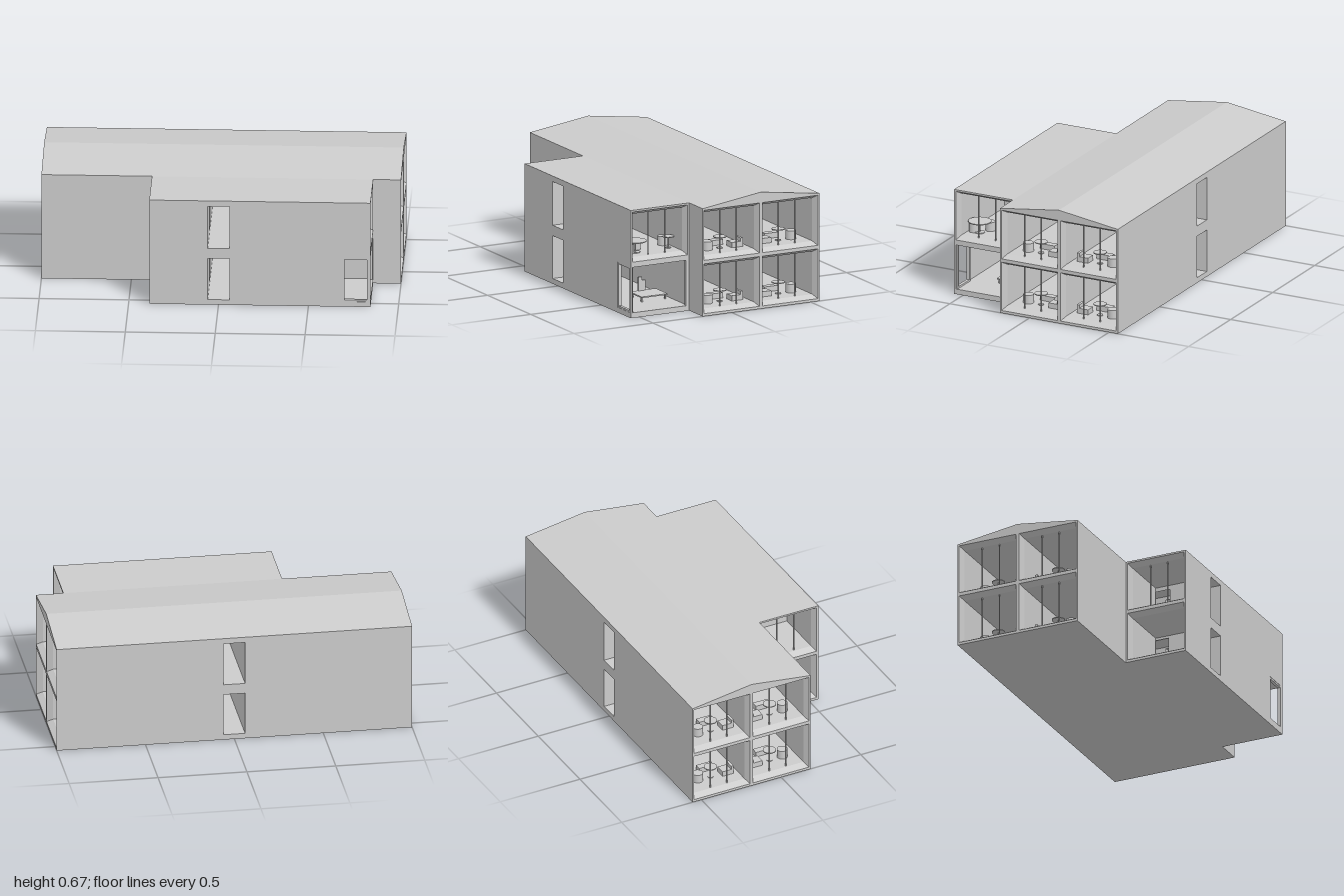
import * as THREE from 'three';

const mat = new THREE.MeshStandardMaterial({ color: 0xcccccc, side: THREE.DoubleSide });

export function createModel() {
  const root = new THREE.Group();
  root.name = 'building';
  const EAVE = 0.617, RIDGE = 0.668, FRONT = 0.555, MID = 0.185, BACK = -0.555;

  const add = (name, geo, x = 0, y = 0, z = 0) => {
    const m = new THREE.Mesh(geo, mat);
    m.name = name;
    m.position.set(x, y, z);
    root.add(m);
    return m;
  };
  // box given by its limits
  const box = (name, x0, x1, y0, y1, z0, z1) =>
    add(name, new THREE.BoxGeometry(Math.abs(x1 - x0), y1 - y0, Math.abs(z1 - z0)),
      (x0 + x1) / 2, (y0 + y1) / 2, (z0 + z1) / 2);
  // upright cylinder standing on y
  const drum = (name, r, h, x, y, z) =>
    add(name, new THREE.CylinderGeometry(r, r, h, 24), x, y + h / 2, z);

  const trace = (path, pts) => {
    pts.forEach(([u, v], i) => (i ? path.lineTo(u, v) : path.moveTo(u, v)));
    path.closePath();
    return path;
  };
  const rect = ([a, b, c, d]) => [[a, c], [b, c], [b, d], [a, d]];
  const holed = (outline, holes) => {
    const s = trace(new THREE.Shape(), outline);
    holes.forEach(h => s.holes.push(trace(new THREE.Path(), rect(h))));
    return s;
  };
  // wall facing z; limits and holes as [x0, x1, y0, y1]
  const wallZ = (name, limits, holes, z) =>
    add(name, new THREE.ExtrudeGeometry(holed(rect(limits), holes), { depth: 0.01, bevelEnabled: false }), 0, 0, z);
  // thin wall facing x; outline as [z, y], holes as [z0, z1, y0, y1]
  const wallX = (name, outline, holes, x) => {
    const flip = outline.map(([z, y]) => [-z, y]);
    const cut = holes.map(([a, b, c, d]) => [-b, -a, c, d]);
    const m = add(name, new THREE.ShapeGeometry(holed(flip, cut)), x);
    m.rotation.y = Math.PI / 2;
  };
  // open rectangular tube through sections [x, z0, z1, y0, y1]
  const tube = (name, sections, skip = -1) => {
    const pos = [];
    const rings = sections.map(([x, a, b, c, d]) => rect([a, b, c, d]).map(([z, y]) => [x, y, z]));
    for (let i = 0; i + 1 < rings.length; i++) {
      for (let k = 0; k < 4; k++) {
        if (k === skip) continue;
        const n = (k + 1) % 4, p = rings[i], q = rings[i + 1];
        pos.push(...p[k], ...p[n], ...q[n], ...p[k], ...q[n], ...q[k]);
      }
    }
    const g = new THREE.BufferGeometry();
    g.setAttribute('position', new THREE.Float32BufferAttribute(pos, 3));
    g.computeVertexNormals();
    add(name, g);
  };

  const HALL = 0.06;
  // splayed window reveal, room behind it and two mullions
  const windowRoom = (s, face, [z0, z1, y0, y1], mullions = true) => {
    const i = 0.017, j = 0.02;
    const inner = [z0 + i, z1 - i, y0 + j, y1 - j];
    tube('roomShell', [
      [s * face, z0, z1, y0, y1],
      [s * (face - 0.035), ...inner],
      [s * HALL, ...inner],
    ]);
    if (mullions) for (const t of [1 / 3, 2 / 3]) {
      const z = inner[0] + (inner[1] - inner[0]) * t;
      box('mullion', s * (face - 0.04), s * (face - 0.046), inner[2], inner[3], z - 0.003, z + 0.003);
    }
    return inner;
  };
  const table = (x, y, z, r) => {
    drum('tableTop', r, 0.005, x, y + 0.063, z);
    drum('tableLeg', 0.004, 0.063, x, y, z);
    drum('tableFoot', r * 0.45, 0.004, x, y, z);
  };

  // base slabs and roofs
  box('mainBase', -1, 1, 0, 0.01, BACK, MID);
  box('wingBase', -0.385, 0.845, 0, 0.01, MID, FRONT);
  box('wingRoof', -0.385, 0.845, 0.609, EAVE, MID - 0.01, FRONT);
  const gable = trace(new THREE.Shape(), [[-MID, EAVE], [-BACK, EAVE], [MID, RIDGE]]);
  add('gableRoof', new THREE.ExtrudeGeometry(gable, { depth: 2, bevelEnabled: false }), -1).rotation.y = Math.PI / 2;

  // long walls with hall openings on both floors
  const hallHoles = [[-HALL, HALL, 0.03, 0.275], [-HALL, HALL, 0.335, 0.585]];
  const cornerHole = [0.69, 0.835, 0.03, 0.29];
  wallZ('backWall', [-1, 1, 0, EAVE], hallHoles, BACK);
  wallZ('mainFrontWall', [-1, 1, 0, EAVE], hallHoles, MID - 0.01);
  wallZ('wingFrontWall', [-0.385, 0.845, 0, EAVE], [...hallHoles, cornerHole], FRONT - 0.01);

  // central hall
  for (const [y0, y1] of [[0.005, 0.03], [0.275, 0.335], [0.585, 0.612]])
    box('hallSlab', -HALL, HALL, y0, y1, BACK + 0.01, FRONT - 0.01);
  const doors = [[0.215, 0.29, 0.038, 0.265], [0.215, 0.3, 0.343, 0.563]];
  for (const s of [-1, 1])
    wallX('hallWall', rect([BACK + 0.001, FRONT - 0.001, 0, 0.612]), doors, s * HALL);

  // main block: four furnished rooms at each end
  const floors = [[0.015, 0.3], [0.32, 0.607]];
  for (const s of [-1, 1]) {
    const holes = [];
    for (const [y0, y1] of floors) for (const m of [1, -1]) {
      const cz = m > 0 ? 0 : -0.37;
      const hole = [cz - 0.175, cz + 0.175, y0, y1];
      holes.push(hole);
      const [, , f, top] = windowRoom(s, 1, hole);
      const Z = z => cz + m * z;
      table(s * 0.86, f, Z(0), 0.037);
      drum('tubChair', 0.03, 0.05, s * 0.86, f, Z(0.08));
      box('seat', s * 0.76, s * 0.8, f, f + 0.03, Z(0.038), Z(-0.053));
      box('armchairSeat', s * 0.83, s * 0.89, f, f + 0.03, Z(-0.06), Z(-0.13));
      box('armchairBack', s * 0.83, s * 0.89, f, f + 0.05, Z(-0.115), Z(-0.13));
      // cupboards on the inner wall with rounded ends
      for (const [c0, c1] of [[f, f + 0.084], [top - 0.083, top]]) {
        box('cupboard', s * HALL, s * 0.16, c0, c1, Z(-0.053), Z(-0.157));
        drum('roundedCupboard', 0.026, c1 - c0, s * 0.13, c0, Z(-0.028));
        drum('roundedCupboard', 0.026, c1 - c0, s * 0.13, c0, Z(0.13));
      }
    }
    wallX('gableWall', [[MID, 0], [MID, EAVE], [-MID, RIDGE], [BACK, EAVE], [BACK, 0]], holes, s);
  }

  // wing ends
  const wingOutline = rect([MID, FRONT, 0, EAVE]);
  const upper = [0.195, 0.545, 0.32, 0.607], lower = [0.195, 0.545, 0.015, 0.3];
  const corner = [0.195, 0.545, 0.03, 0.29];
  wallX('wingEndWall', wingOutline, [upper, corner], 0.845);
  wallX('wingEndWall', wingOutline, [upper, lower], -0.385);
  windowRoom(1, 0.845, upper);
  windowRoom(-1, 0.385, upper);
  windowRoom(-1, 0.385, lower, false);

  // open corner room, its front side left to the front wall
  tube('cornerRoom', [[0.845, ...corner], [HALL, ...corner]], 1);
  for (const x of [0.69, 0.825]) box('cornerFrameSide', x, x + 0.01, 0.03, 0.29, 0.535, 0.553);
  for (const y of [0.03, 0.28]) box('cornerFrameRail', 0.69, 0.835, y, y + 0.01, 0.535, 0.553);
  box('endFrameSide', 0.825, 0.843, 0.03, 0.29, 0.195, 0.205);
  box('benchTop', 0.52, 0.66, 0.054, 0.061, 0.22, 0.385);
  for (const x of [0.53, 0.64]) for (const z of [0.225, 0.372])
    box('benchLeg', x, x + 0.01, 0.03, 0.054, z, z + 0.008);
  box('benchBack', 0.52, 0.53, 0.061, 0.14, 0.312, 0.335);
  box('benchArm', 0.52, 0.53, 0.061, 0.12, 0.29, 0.312);

  // upper wing lounge
  const F = 0.34;
  table(0.72, F, 0.46, 0.065);
  table(0.72, F, 0.25, 0.032);
  for (const [x, z] of [[0.72, 0.497], [0.66, 0.425], [0.64, 0.243]])
    drum('stool', 0.028, 0.052, x, F, z);
  box('counter', 0.2, 0.3, F, 0.424, 0.31, 0.525);
  box('counterPost', 0.2, 0.3, F, 0.447, 0.302, 0.31);
  return root;
}
